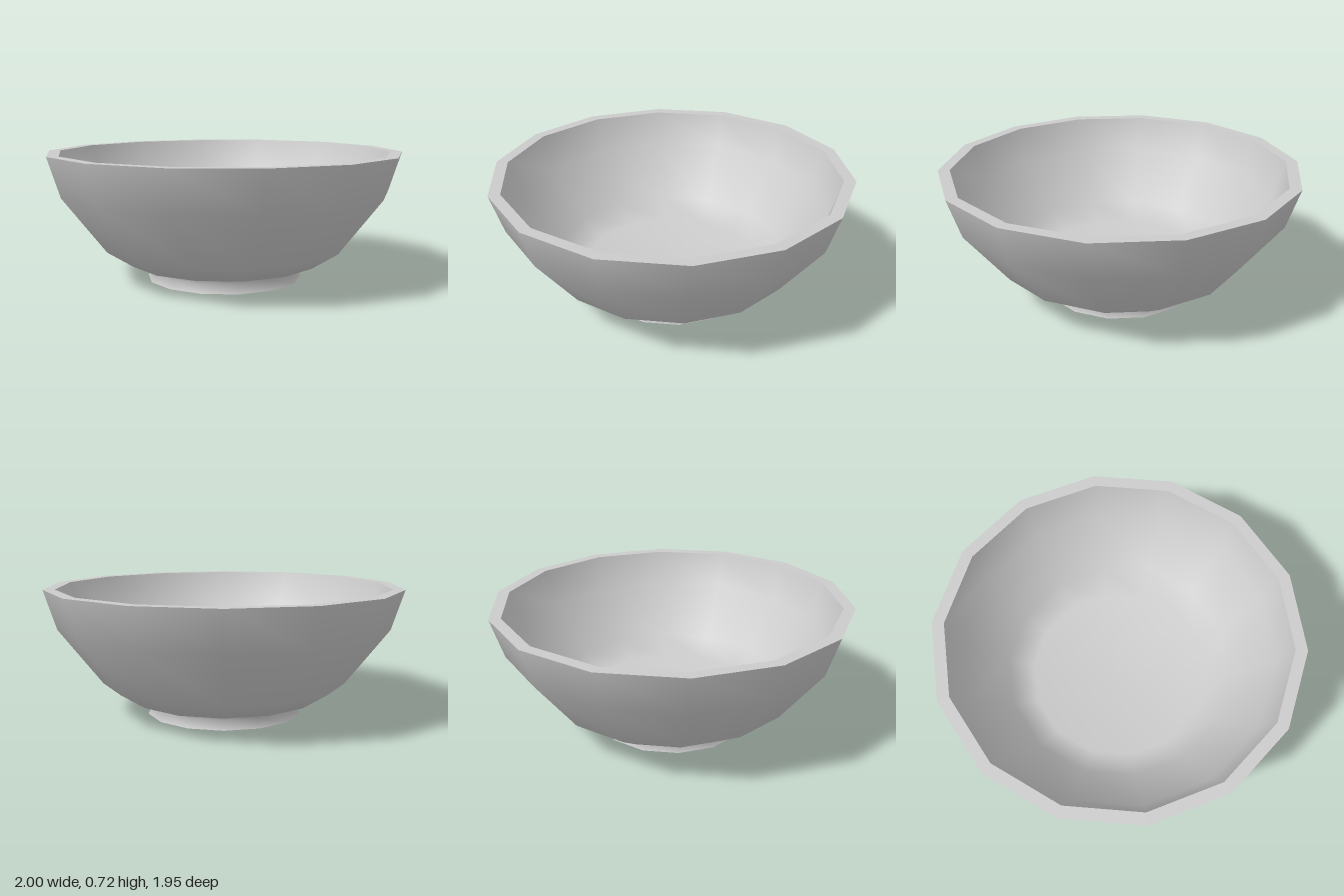
import * as THREE from 'three';

const SIDES = 14;

// Each profile runs so that its surface faces out of the solid wall.
function turned(name, profile, material) {
  const points = profile.map(([r, y]) => new THREE.Vector2(r, y));
  // Start a quarter turn round so that a corner lies on the x axis.
  const mesh = new THREE.Mesh(new THREE.LatheGeometry(points, SIDES, Math.PI / 2), material);
  mesh.name = name;
  return mesh;
}

export function createModel() {
  const group = new THREE.Group();
  group.name = 'bowl';
  const material = new THREE.MeshStandardMaterial({ color: 0xcccccc });

  // Flared foot running smoothly into the outer wall
  group.add(turned('outerWall', [
    [0.44, 0], [0.42, 0.05], [0.455, 0.095], [0.54, 0.095],
    [0.69, 0.19], [0.93, 0.5], [1, 0.72],
  ], material));

  // Flat lip round the opening
  group.add(turned('rim', [[1, 0.72], [0.935, 0.72]], material));

  // Inside of the bowl, from the lip down to the floor
  group.add(turned('innerWall', [
    [0.935, 0.72], [0.87, 0.52], [0.65, 0.24], [0.51, 0.15], [0, 0.14],
  ], material));

  // Narrow standing ring and the hollow underside within it
  group.add(turned('footRing', [[0.42, 0], [0.44, 0]], material));
  group.add(turned('underside', [[0, 0.07], [0.38, 0.06], [0.42, 0]], material));

  return group;
}
